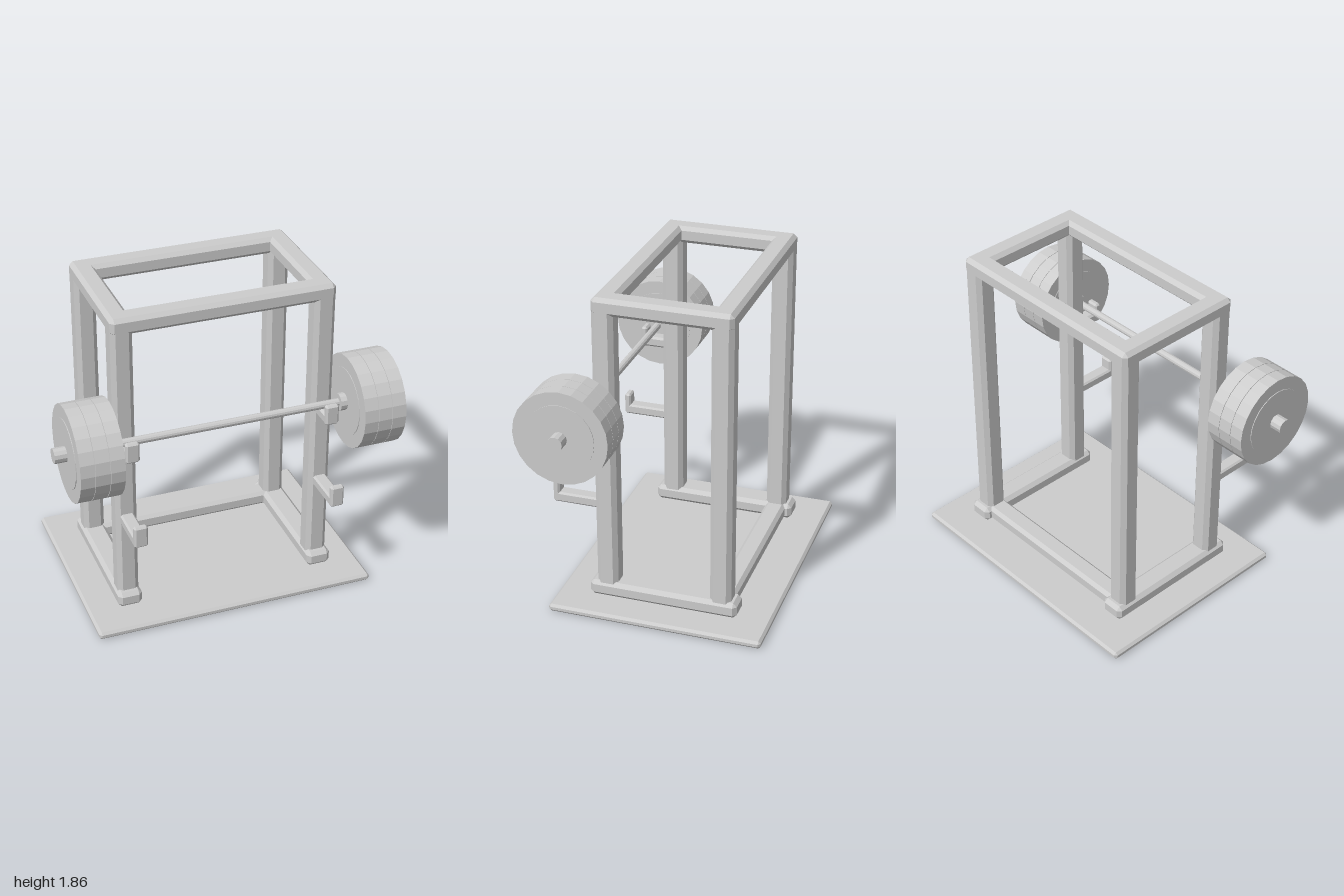
import * as THREE from 'three';
import { ConvexGeometry } from 'three/addons/geometries/ConvexGeometry.js';

const steel = new THREE.MeshStandardMaterial({ color: 0xcccccc, flatShading: true });
steel.name = 'light grey steel';

// Box with chamfered edges, given by its limits on each axis
function chamferBox(name, [x0, x1], [y0, y1], [z0, z1], c) {
  const h = [(x1 - x0) / 2, (y1 - y0) / 2, (z1 - z0) / 2];
  const points = [];
  for (const sx of [-1, 1]) for (const sy of [-1, 1]) for (const sz of [-1, 1]) {
    for (let full = 0; full < 3; full++) {
      const e = h.map((v, i) => (i === full ? v : v - c));
      points.push(new THREE.Vector3(sx * e[0], sy * e[1], sz * e[2]));
    }
  }
  const mesh = new THREE.Mesh(new ConvexGeometry(points), steel);
  mesh.name = name;
  mesh.position.set((x0 + x1) / 2, (y0 + y1) / 2, (z0 + z1) / 2);
  return mesh;
}

// Cylinder along x on the barbell axis
function disc(name, x0, x1, radius, sides) {
  const geometry = new THREE.CylinderGeometry(radius, radius, x1 - x0, sides).rotateZ(Math.PI / 2);
  const mesh = new THREE.Mesh(geometry, steel);
  mesh.name = name;
  mesh.position.x = (x0 + x1) / 2;
  return mesh;
}

export function createModel() {
  const model = new THREE.Group();
  model.name = 'powerRack';
  const front = [0.21, 0.333], rear = [-0.453, -0.33];

  // Floor platform
  model.add(chamferBox('platform', [-0.825, 0.825], [0, 0.045], [-0.68, 0.557], 0.014));

  // Frame cross members
  model.add(chamferBox('rearBaseBeam', [-0.6, 0.6], [0.05, 0.138], rear, 0.02));
  model.add(chamferBox('frontTopBeam', [-0.64, 0.64], [1.76, 1.86], front, 0.022));
  model.add(chamferBox('rearTopBeam', [-0.64, 0.64], [1.76, 1.86], rear, 0.022));

  for (const s of [-1, 1]) {
    const span = (a, b) => (s > 0 ? [a, b] : [-b, -a]);
    const side = s > 0 ? 'left' : 'right';

    // Side frame
    const post = span(0.517, 0.64), rail = span(0.51, 0.652), hook = span(0.54, 0.618);
    model.add(
      chamferBox(side + 'BaseRail', rail, [0.045, 0.138], [-0.49, 0.373], 0.022),
      chamferBox(side + 'TopBeam', post, [1.76, 1.86], [-0.453, 0.333], 0.022),
      chamferBox(side + 'FrontPost', post, [0.08, 1.85], front, 0.025),
      chamferBox(side + 'RearPost', post, [0.08, 1.85], rear, 0.025)
    );

    // Bar hook and lower safety arm, each with an upright lip
    model.add(
      chamferBox(side + 'HookArm', hook, [1.067, 1.13], [0.31, 0.475], 0.012),
      chamferBox(side + 'HookLip', hook, [1.067, 1.187], [0.437, 0.475], 0.01),
      chamferBox(side + 'SafetyArm', hook, [0.595, 0.655], [0.31, 0.588], 0.01),
      chamferBox(side + 'SafetyLip', hook, [0.595, 0.725], [0.55, 0.588], 0.01)
    );
  }

  // Barbell with three weight plates at each end
  const barbell = new THREE.Group();
  barbell.name = 'barbell';
  barbell.position.set(0, 1.165, 0.405);
  barbell.add(disc('bar', -0.7, 0.7, 0.022, 12));
  for (const s of [-1, 1]) {
    const end = new THREE.Group();
    end.name = s > 0 ? 'leftLoad' : 'rightLoad';
    end.add(disc('sleeve', 0.66, 1, 0.043, 12));
    end.add(disc('collar', 0.64, 0.677, 0.05, 12));
    for (let i = 0; i < 3; i++) {
      const x = 0.682 + i * 0.0825;
      end.add(disc('weightPlate', x, x + 0.08, 0.27, 24));
      end.add(disc('plateHub', x - 0.003, x + 0.084, 0.195, 24));
    }
    if (s < 0) end.rotation.y = Math.PI;
    barbell.add(end);
  }
  model.add(barbell);
  return model;
}
